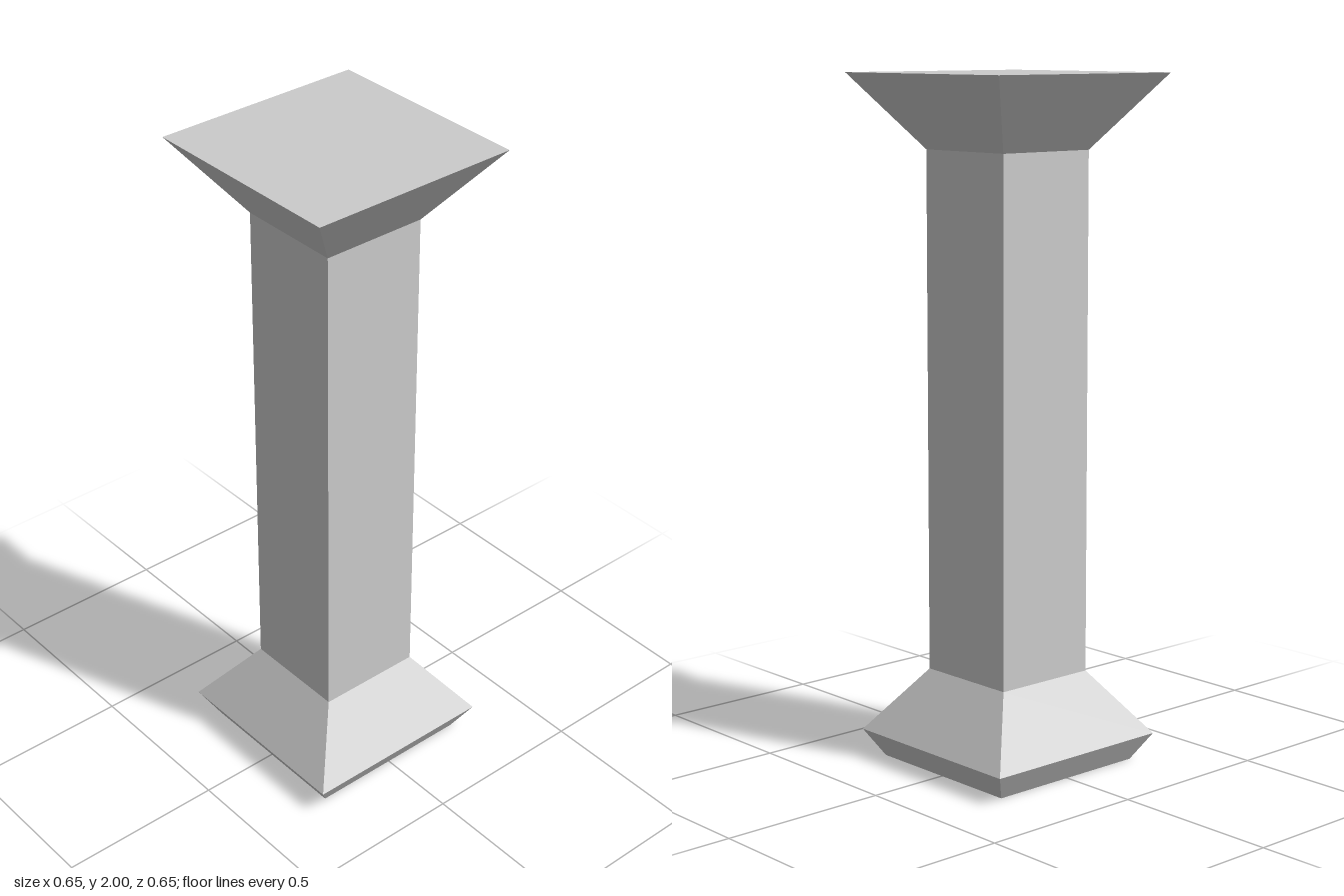
import * as THREE from 'three';

const material = new THREE.MeshStandardMaterial({ color: 0xcccccc, flatShading: true });

// Square section swept round the y axis; profile is [halfWidth, y], listed from the bottom up
function squareTurned(name, profile) {
  const points = profile.map(([half, y]) => new THREE.Vector2(half * Math.SQRT2, y));
  const geometry = new THREE.LatheGeometry(points, 4, Math.PI / 4).toNonIndexed();
  geometry.computeVertexNormals();
  const mesh = new THREE.Mesh(geometry, material);
  mesh.name = name;
  return mesh;
}

export function createModel() {
  const column = new THREE.Group();
  column.name = 'column';

  const shaftHalf = 0.162;
  const shaftBottom = 0.268;
  const shaftTop = 1.785;

  // Base: recessed underside, undercut foot, then a slope up to the shaft
  column.add(squareTurned('base', [
    [0, 0.065], [0.167, 0.065], [0.255, 0], [0.303, 0.08], [shaftHalf, shaftBottom],
  ]));

  // Plain square shaft
  column.add(squareTurned('shaft', [[shaftHalf, shaftBottom], [shaftHalf, shaftTop]]));

  // Flared capital with a flat top
  column.add(squareTurned('capital', [[shaftHalf, shaftTop], [0.323, 2], [0, 2]]));

  return column;
}
